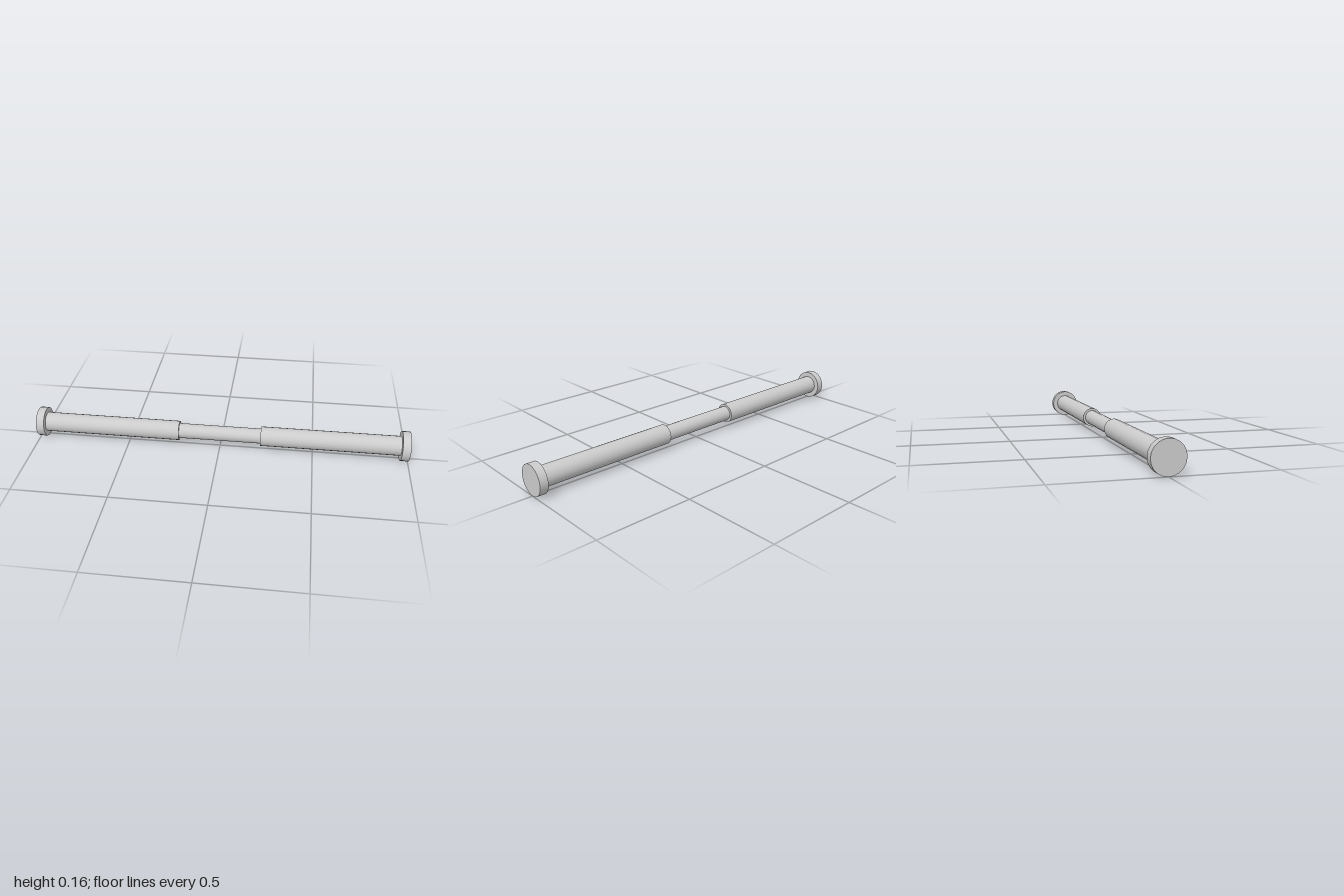
import * as THREE from 'three';

const SIDES = 20;
const AXIS_Y = 0.079;

export function createModel() {
  const group = new THREE.Group();
  const material = new THREE.MeshStandardMaterial({ color: 0xcccccc });

  // Solid cylinder lying along x, from x0 to x1
  function bar(name, radius, x0, x1) {
    const geometry = new THREE.CylinderGeometry(radius, radius, x1 - x0, SIDES);
    geometry.rotateZ(-Math.PI / 2);
    const mesh = new THREE.Mesh(geometry, material);
    mesh.name = name;
    mesh.position.set((x0 + x1) / 2, AXIS_Y, 0);
    group.add(mesh);
  }

  // Thin middle rod joining the two sleeves
  bar('middleRod', 0.04, -0.23, 0.23);

  // Thicker sleeves and the end caps
  bar('leftSleeve', 0.052, 0.22, 0.957);
  bar('rightSleeve', 0.052, -0.957, -0.22);
  bar('leftEndCap', 0.079, 0.957, 1);
  bar('rightEndCap', 0.079, -1, -0.957);

  return group;
}
